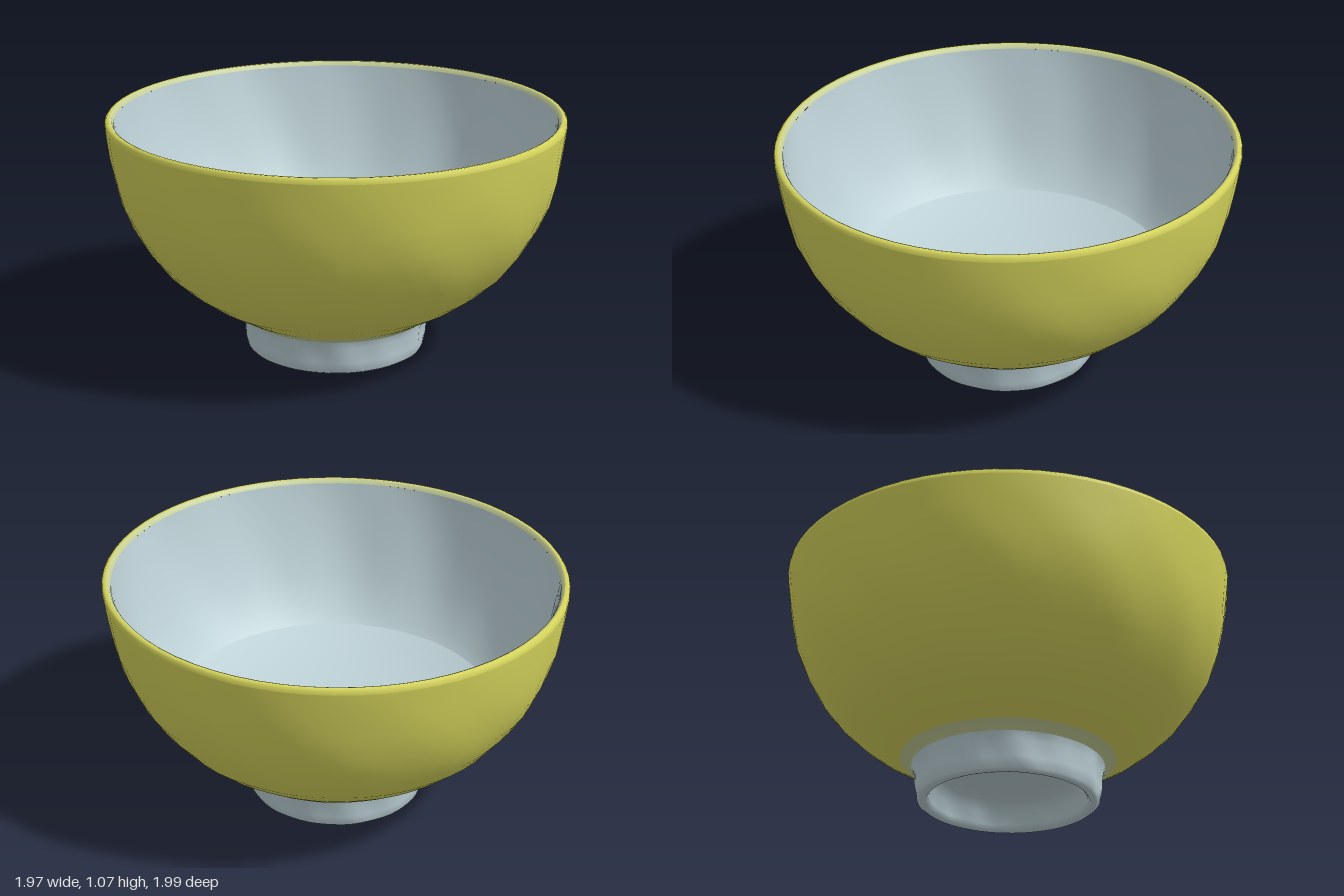
import * as THREE from 'three';
import { mergeVertices } from 'three/addons/utils/BufferGeometryUtils.js';

const SEGMENTS = 64;

function paint(name, color) {
  const material = new THREE.MeshStandardMaterial({ color });
  material.name = name;
  return material;
}
const glaze = paint('yellow glaze', 0xd5d45c);
const thinGlaze = paint('thin glaze', 0xc6cf98);
const clay = paint('pale blue grey', 0xbdd1d6);

// Hand-made unevenness: dents between heights low and high, and a slightly tilted rim
function handShape(geometry, { amount, low, high, twist }) {
  const p = geometry.attributes.position;
  for (let i = 0; i < p.count; i++) {
    const x = p.getX(i), y = p.getY(i), z = p.getZ(i);
    const a = Math.atan2(x, z);
    const t = THREE.MathUtils.clamp((y - low) / (high - low), 0, 1);
    const wave = Math.sin(13 * a + twist * y) + 0.7 * Math.sin(8 * a - 1.6 * twist * y + 1);
    const s = 1 + amount * Math.sin(Math.PI * t) * wave;
    const tilt = 0.009 * x - 0.003 * z;
    p.setXYZ(i, x * s, y + tilt, z * s * 1.008);
  }
}

// Turn a [radius, height] profile; outer walls run upward, inner walls downward
function turned(name, profile, material, dents) {
  const points = profile.map(([r, y]) => new THREE.Vector2(r, y));
  let geometry = new THREE.LatheGeometry(points, SEGMENTS);
  geometry.deleteAttribute('uv');
  geometry.deleteAttribute('normal');
  geometry = mergeVertices(geometry, 1e-4);
  handShape(geometry, dents);
  geometry.computeVertexNormals();
  const mesh = new THREE.Mesh(geometry, material);
  mesh.name = name;
  return mesh;
}

export function createModel() {
  const bowl = new THREE.Group();
  bowl.name = 'bowl';
  const footDents = { amount: 0.012, low: 0, high: 0.165, twist: 0 };
  const wallDents = { amount: 0.003, low: 0.2, high: 1.04, twist: 12 };
  const insideDents = { amount: 0.009, low: 0.42, high: 1.05, twist: 0 };

  bowl.add(
    // Hollow foot: recessed underside, standing ring and outer wall
    turned('foot', [
      [0, 0.15], [0.2, 0.145], [0.29, 0.125], [0.325, 0.08], [0.335, 0.03], [0.35, 0.007],
      [0.375, 0.005], [0.39, 0.015], [0.397, 0.06], [0.403, 0.13], [0.417, 0.165],
    ], clay, footDents),

    // Thin edge of the glaze above the foot
    turned('glazeEdge', [[0.417, 0.165], [0.44, 0.185], [0.467, 0.2]], thinGlaze, wallDents),

    // Glazed outside wall
    turned('outerWall', [
      [0.467, 0.2], [0.52, 0.232], [0.6, 0.28], [0.68, 0.34], [0.755, 0.41], [0.825, 0.5],
      [0.885, 0.6], [0.93, 0.71], [0.957, 0.82], [0.973, 0.92], [0.983, 1.0], [0.987, 1.04],
    ], glaze, wallDents),

    // Glazed lip, wearing thin towards the inside
    turned('rim', [[0.987, 1.04], [0.985, 1.055], [0.977, 1.064], [0.965, 1.063]], glaze, wallDents),
    turned('wornLip', [[0.965, 1.063], [0.956, 1.058], [0.949, 1.045]], thinGlaze, wallDents),

    // Bare steep inside wall
    turned('insideWall', [
      [0.949, 1.045], [0.938, 0.98], [0.912, 0.86], [0.876, 0.74], [0.832, 0.62],
      [0.785, 0.53], [0.735, 0.455], [0.7, 0.42],
    ], clay, insideDents),

    // Shallow dished floor
    turned('floor', [
      [0.7, 0.42], [0.6, 0.375], [0.45, 0.335], [0.25, 0.305], [0, 0.295],
    ], clay, insideDents),
  );
  return bowl;
}
